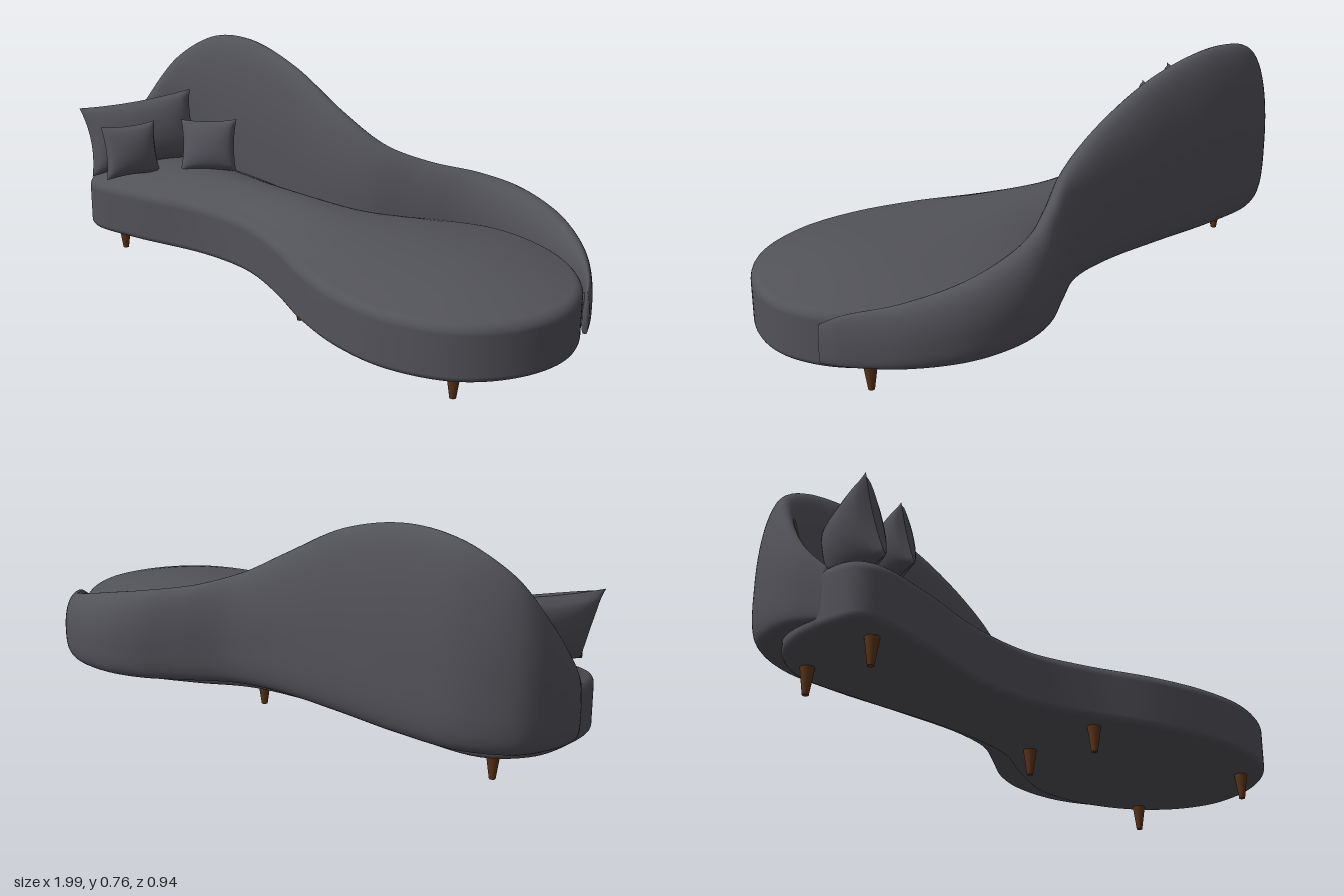
import * as THREE from 'three';
import { mergeGeometries } from 'three/addons/utils/BufferGeometryUtils.js';

const V = (x, y, z) => new THREE.Vector3(x, y, z);

// Skin a list of closed rings (arrays of Vector3) with smooth normals.
function loft(rings) {
  const n = rings[0].length, index = [];
  for (let i = 0; i < rings.length - 1; i++) {
    for (let j = 0; j < n; j++) {
      const k = (j + 1) % n;
      const a = i * n + j, b = a + n, c = i * n + k, d = c + n;
      index.push(a, c, b, c, d, b);
    }
  }
  const g = new THREE.BufferGeometry().setFromPoints(rings.flat());
  g.setIndex(index);
  g.computeVertexNormals();
  return g;
}

// Seat: pinched outline, rounded edges and a gently crowned top.
function seatGeometry() {
  const outline = [
    [-0.97, -0.03], [-0.96, 0.1], [-0.9, 0.145], [-0.72, 0.145], [-0.42, 0.115], [-0.2, 0.14],
    [0, 0.23], [0.2, 0.35], [0.4, 0.435], [0.6, 0.465], [0.8, 0.415], [0.93, 0.29],
    [0.99, 0.12], [0.96, -0.04], [0.86, -0.18], [0.7, -0.285], [0.5, -0.33], [0.3, -0.28],
    [0.12, -0.21], [-0.05, -0.2], [-0.25, -0.22], [-0.5, -0.27], [-0.78, -0.3], [-0.92, -0.2],
  ];
  const curve = new THREE.CatmullRomCurve3(outline.map(([x, z]) => V(x, 0, z)), true);
  const N = 192, half = N / 2;
  const edge = Array.from({ length: N }, (_, i) => curve.getPoint(i / N));
  // Spine midway between opposite edge points, stopped short of both ends
  const spine = edge.map((_, i) => {
    const k = THREE.MathUtils.clamp(Math.min(i, N - i), 14, half - 26);
    return edge[k].clone().add(edge[(N - k) % N]).multiplyScalar(0.5);
  });
  const ring = (inset, f, y) => edge.map((p, i) => {
    const s = spine[i], r = Math.max(0, 1 - inset / p.distanceTo(s)) * f;
    return V(s.x + (p.x - s.x) * r, y, s.z + (p.z - s.z) * r);
  });
  const rings = [ring(0, 0, 0.085), ring(0.03, 1, 0.085)];
  for (let i = 0; i <= 5; i++) {
    const a = i / 5 * Math.PI / 2;
    rings.push(ring(0.022 * (1 - Math.sin(a)), 1, 0.085 + 0.022 * (1 - Math.cos(a))));
  }
  for (let i = 0; i <= 6; i++) {
    const a = i / 6 * 1.4;
    rings.push(ring(0.035 * (1 - Math.cos(a)), 1, 0.235 + 0.035 * Math.sin(a)));
  }
  for (let i = 1; i <= 10; i++) {
    const f = 1 - i / 10;
    rings.push(ring(0.035, f, 0.27 + 0.05 * (1 - f * f)));
  }
  return loft(rings);
}

// Backrest: egg-shaped section swept around the rear, high at one end.
function backrestGeometry() {
  // outer x, top y, outer z, inner x, bottom y, inner z
  const stations = [
    [-0.97, 0.27, 0.0, -0.95, 0.11, 0.0],
    [-1.0, 0.36, -0.1, -0.94, 0.115, -0.08],
    [-0.985, 0.5, -0.22, -0.9, 0.12, -0.17],
    [-0.92, 0.64, -0.34, -0.84, 0.125, -0.235],
    [-0.76, 0.735, -0.41, -0.72, 0.125, -0.26],
    [-0.55, 0.757, -0.395, -0.55, 0.125, -0.245],
    [-0.3, 0.70, -0.345, -0.3, 0.125, -0.2],
    [-0.05, 0.58, -0.305, -0.07, 0.125, -0.165],
    [0.12, 0.495, -0.315, 0.08, 0.125, -0.175],
    [0.27, 0.445, -0.385, 0.22, 0.125, -0.235],
    [0.4, 0.42, -0.45, 0.38, 0.125, -0.305],
    [0.53, 0.395, -0.47, 0.52, 0.125, -0.325],
    [0.7, 0.355, -0.42, 0.67, 0.12, -0.3],
    [0.85, 0.31, -0.295, 0.81, 0.115, -0.215],
    [0.95, 0.27, -0.13, 0.92, 0.11, -0.11],
    [0.975, 0.235, -0.06, 0.955, 0.11, -0.055],
  ];
  const outer = new THREE.CatmullRomCurve3(stations.map(s => V(s[0], s[1], s[2])));
  const inner = new THREE.CatmullRomCurve3(stations.map(s => V(s[3], s[4], s[5])));
  const STEPS = 120, SIDES = 48;
  const section = (t, scale) => {
    const o = outer.getPoint(t), n = inner.getPoint(t);
    const waist = n.y + (o.y - n.y) * 0.43;
    return Array.from({ length: SIDES }, (_, j) => {
      const a = j / SIDES * Math.PI * 2, c = Math.cos(a), s = Math.sin(a);
      const e = s < 0 ? 0.55 : 1; // squarer below the waist
      const u = Math.sign(c) * Math.abs(c) ** e * 0.5 * scale;
      const v = Math.sign(s) * Math.abs(s) ** e * scale;
      const y = waist + v * (s < 0 ? waist - n.y : o.y - waist);
      return V((o.x + n.x) / 2 + (o.x - n.x) * u, y, (o.z + n.z) / 2 + (o.z - n.z) * u);
    });
  };
  const rings = [section(0, 0)];
  for (let i = 0; i <= STEPS; i++) rings.push(section(i / STEPS, 1));
  rings.push(section(1, 0));
  return loft(rings);
}

// Cushion: two bulged faces meeting at a thin seam, edges drawn in between the corners.
function cushionGeometry(w, h, depth) {
  const front = new THREE.PlaneGeometry(2, 2, 20, 20);
  const p = front.attributes.position;
  for (let i = 0; i < p.count; i++) {
    const x = p.getX(i), y = p.getY(i);
    const fx = 1 - x * x, fy = 1 - y * y;
    p.setXYZ(i, x * (1 - 0.09 * fy) * w / 2, y * (1 - 0.09 * fx) * h / 2, depth / 2 * (fx * fy) ** 0.45);
  }
  front.computeVertexNormals();
  return mergeGeometries([front, front.clone().rotateY(Math.PI)]);
}

export function createModel() {
  const model = new THREE.Group();
  model.name = 'chaiseLounge';
  const fabric = new THREE.MeshStandardMaterial({ color: 0x525259 });
  fabric.name = 'charcoalFabric';
  const wood = new THREE.MeshStandardMaterial({ color: 0x5a3319 });
  wood.name = 'brownWood';
  const add = (name, geometry, material) => {
    const mesh = new THREE.Mesh(geometry, material);
    mesh.name = name;
    model.add(mesh);
    return mesh;
  };

  add('seat', seatGeometry(), fabric);
  add('backrest', backrestGeometry(), fabric);

  // Cushions: size, position, then yaw, lean and roll
  const cushions = [
    ['largeCushion', [0.42, 0.25, 0.13], [-0.83, 0.42, -0.04], [-0.3, 1.04, 0.07]],
    ['sideCushion', [0.2, 0.19, 0.09], [-0.775, 0.39, 0.075], [-0.25, 1.1, 0]],
    ['backCushion', [0.2, 0.19, 0.09], [-0.58, 0.395, -0.125], [-0.4, 0.65, 0]],
  ];
  for (const [name, size, position, [lean, yaw, roll]] of cushions) {
    const mesh = add(name, cushionGeometry(...size), fabric);
    mesh.position.set(...position);
    mesh.rotation.set(lean, yaw, roll, 'YXZ');
  }

  // Tapered legs
  const leg = new THREE.CylinderGeometry(0.023, 0.01, 0.09, 20).translate(0, 0.045, 0);
  const feet = [[-0.835, 0.063], [-0.795, -0.225], [0.075, 0.185], [0.125, -0.105], [0.755, 0.345], [0.845, -0.13]];
  for (const [x, z] of feet) add('leg', leg, wood).position.set(x, 0, z);

  return model;
}
